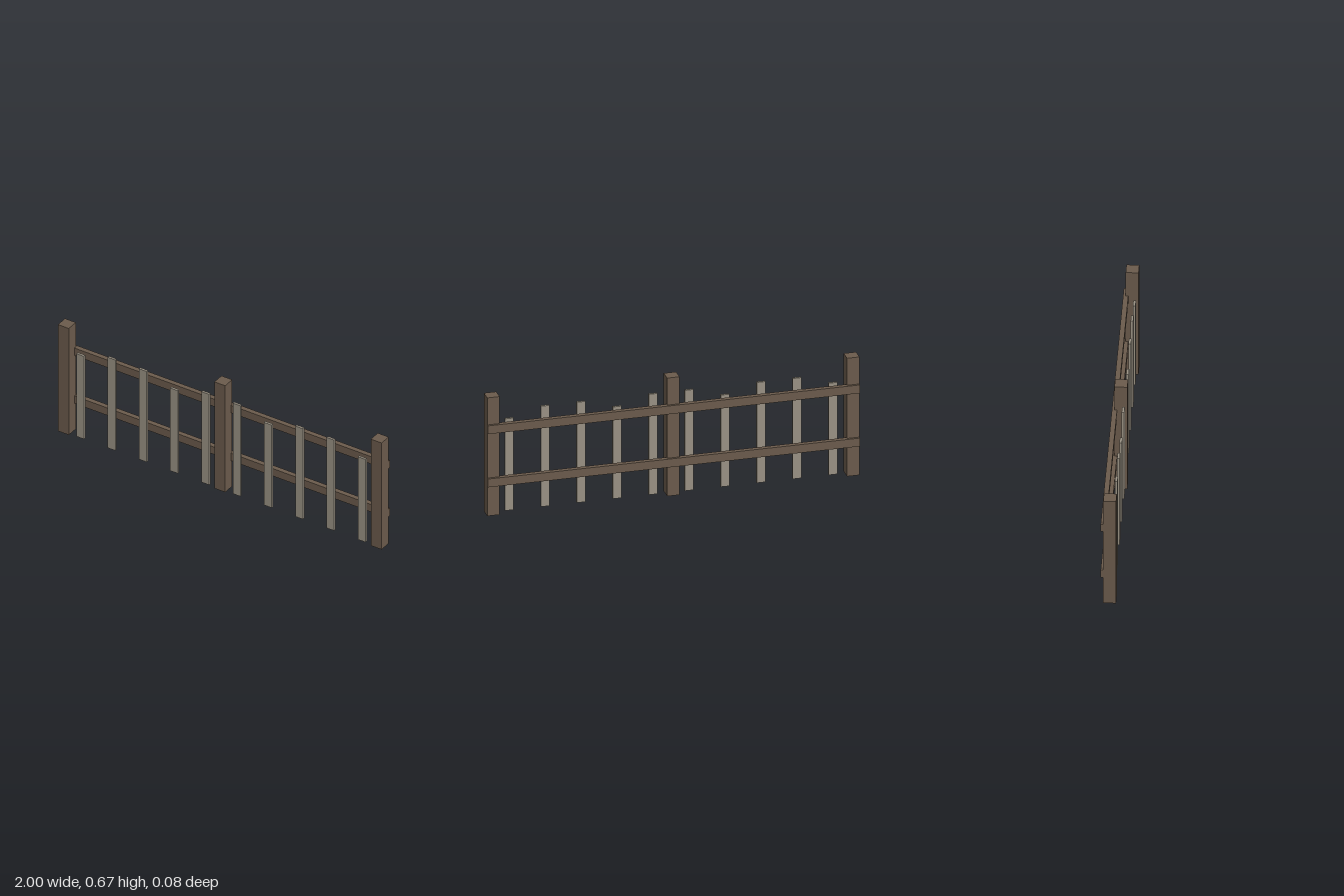
import * as THREE from 'three';

export function createModel() {
  const fence = new THREE.Group();
  fence.name = 'fence';
  const darkWood = new THREE.MeshStandardMaterial({ color: 0x6b5b4c });
  darkWood.name = 'dark wood';
  const paleWood = new THREE.MeshStandardMaterial({ color: 0x9a9284 });
  paleWood.name = 'weathered pale wood';

  // Adds a board whose underside is at height y
  function board(name, material, [w, h, d], x, y, z) {
    const mesh = new THREE.Mesh(new THREE.BoxGeometry(w, h, d), material);
    mesh.name = name;
    mesh.position.set(x, y + h / 2, z);
    fence.add(mesh);
  }

  // Three square posts
  for (const x of [-0.9667, 0, 0.9667]) {
    board('post', darkWood, [0.0667, 0.6667, 0.0667], x, 0, 0.0067);
  }

  // Two rails let into the backs of the posts
  for (const y of [0.1675, 0.4675]) {
    board('rail', darkWood, [2, 0.0467, 0.0267], 0, y, -0.0267);
  }

  // Ten pickets, every third one shorter
  for (let i = 0; i < 10; i++) {
    const height = i % 3 === 0 ? 0.518 : 0.567;
    board('picket', paleWood, [0.0467, height, 0.0133], (i - 4.5) * 0.1933, 0, 0.0225);
  }

  return fence;
}
